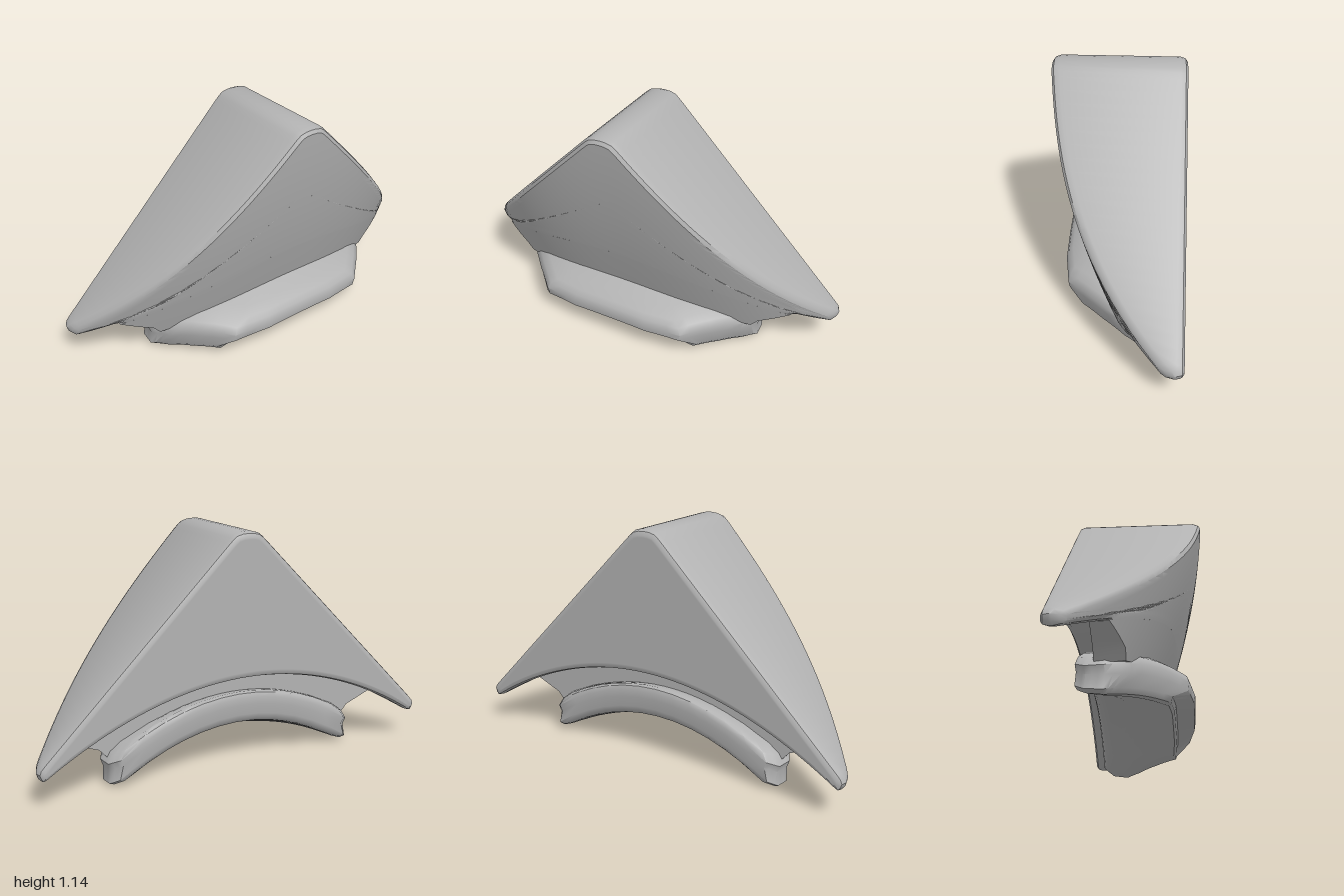
import * as THREE from 'three';
import { toCreasedNormals } from 'three/addons/utils/BufferGeometryUtils.js';

const grey = new THREE.MeshStandardMaterial({ color: 0xb2b2b2 });
grey.name = 'plain grey';

// Skin a list of closed rings of points (equal counts) into one surface
function skin(name, rings, crease) {
  const n = rings[0].length, pos = [], index = [];
  rings.forEach(r => r.forEach(p => pos.push(...p)));
  for (let i = 0; i < rings.length - 1; i++) {
    for (let j = 0; j < n; j++) {
      const a = i * n + j, b = i * n + (j + 1) % n;
      index.push(a, a + n, b, b, a + n, b + n);
    }
  }
  const geo = new THREE.BufferGeometry();
  geo.setAttribute('position', new THREE.Float32BufferAttribute(pos, 3));
  geo.setIndex(index);
  const mesh = new THREE.Mesh(toCreasedNormals(geo, crease), grey);
  mesh.name = name;
  return mesh;
}

// Curved front face and arched underside shared by the body and the neck
const frontZ = (x, y) => 0.02 + 0.42 * y - 0.14 * y * y - 0.31 * Math.abs(x) ** 3;
const arch = x => 0.44 - 0.34 * x * x;
const neckEnd = 0.82;

// Gable-shaped body: outline with rounded corners and arched lower edge
function body() {
  const half = [];
  for (let i = 0; i < 24; i++) { // lower arch from the middle to the tip
    const x = 0.96 * i / 23;
    half.push([x, arch(x)]);
  }
  half.push([0.978, 0.121], [0.993, 0.137], [1.0, 0.16], [0.992, 0.182]);
  for (let i = 0; i <= 20; i++) { // sloping roof side
    const x = 0.975 - 0.875 * i / 20;
    half.push([x, 1.176 - x]);
  }
  half.push([0.08, 1.095], [0.06, 1.11], [0.03, 1.118], [0, 1.12]);
  const line = half.concat(half.slice(1, -1).reverse().map(([x, y]) => [-x, y]));

  // Outline moved inwards by d
  const inset = d => line.map(([x, y], j) => {
    const p = line[(j + line.length - 1) % line.length], q = line[(j + 1) % line.length];
    const tx = q[0] - p[0], ty = q[1] - p[1], l = Math.hypot(tx, ty);
    return [x - d * ty / l, y + d * tx / l];
  });
  const inner = inset(0.025), cy = 0.78, back = -0.305;
  const shrink = s => inner.map(([x, y]) => [x * s, cy + (y - cy) * s]);
  const face = s => shrink(s).map(([x, y]) => [x, y, Math.max(frontZ(x, y), -0.25)]);
  const rings = [];
  for (let i = 0; i <= 10; i++) rings.push(face(i / 10)); // front face

  // Rounded front edge, left flush where the neck continues the face
  const rim = (d, drop) => inset(d).map(([x, y], j) => {
    const flush = Math.abs(line[j][0]) < neckEnd && line[j][1] < arch(line[j][0]) + 0.001;
    return [x, y, Math.max(frontZ(x, y) - (flush ? 0 : drop), -0.262)];
  });
  rings.push(rim(0.009, 0.012), rim(0, 0.038));
  rings.push(inset(0).map(p => [...p, -0.272]));
  rings.push(inset(0.008).map(p => [...p, -0.295]));
  for (const s of [1, 0.97, 0.5, 0]) rings.push(shrink(s).map(p => [...p, back]));
  return skin('body', rings, 0.6);
}

// Neck joining the body to the base, flush with the front face
function neck() {
  const rings = [], steps = 46, back = -0.145;
  const section = x => {
    const a = Math.abs(x);
    const low = a < 0.67 ? 0.22 - 0.25 * a * a : 0.155 + 0.4 * (a - 0.67);
    const high = Math.max(arch(x), low + 0.001), mid = (low + high) / 2;
    return [[x, low, back], [x, high, back], [x, high, frontZ(x, high)],
      [x, mid, frontZ(x, mid)], [x, low, frontZ(x, low)]];
  };
  for (let i = 0; i <= steps; i++) rings.push(section(neckEnd - 2 * neckEnd * i / steps));
  const cap = x => Array(5).fill([x, 0.213, -0.11]);
  return skin('neck', [cap(neckEnd), ...rings, cap(-neckEnd)], 0.6);
}

// Arched, tilted base with cut front corners
function base() {
  const lip = [[0, 0.262], [0.2, 0.26], [0.38, 0.235], [0.5, 0.12], [0.61, 0],
    [0.66, -0.1], [0.65, -0.18], [0.605, -0.225], [0.3, -0.225], [0, -0.225]];
  const foot = [[0, 0.165], [0.22, 0.165], [0.41, 0.155], [0.5, 0.06], [0.58, -0.04],
    [0.615, -0.1], [0.61, -0.17], [0.575, -0.21], [0.3, -0.208], [0, -0.208]];
  const around = half => {
    const full = half.concat(half.slice(1, -1).reverse().map(([x, z]) => [-x, z]));
    return full.flatMap(([x, z], j) => {
      const [u, w] = full[(j + 1) % full.length];
      return [0, 1, 2].map(k => [x + (u - x) * k / 3, z + (w - z) * k / 3]);
    });
  };
  const top = (x, z) => 0.29 - 0.36 * z - 0.4 * z * z - (0.34 - 0.8 * z) * x * x;
  const bottom = (x, z) => 0.115 - 0.4 * z - (0.39 - 0.8 * z) * x * x;
  const ring = (half, s, t) => around(half).map(([x, z]) => {
    const px = x * s, pz = z * s;
    return [px, top(px, pz) * (1 - t) + bottom(px, pz) * t, pz];
  });
  const rings = [];
  for (let i = 0; i <= 5; i++) rings.push(ring(lip, 0.88 * i / 5, 0));
  rings.push(ring(lip, 0.96, 0.06), ring(lip, 1, 0.22), ring(lip, 0.98, 0.45));
  rings.push(ring(foot, 1.06, 0.78), ring(foot, 1.02, 0.93));
  for (let i = 5; i >= 0; i--) rings.push(ring(foot, 0.95 * i / 5, 1));
  return skin('base', rings, 0.8);
}

export function createModel() {
  const model = new THREE.Group();
  model.name = 'gabledWedge';
  model.add(body(), neck(), base());
  return model;
}
